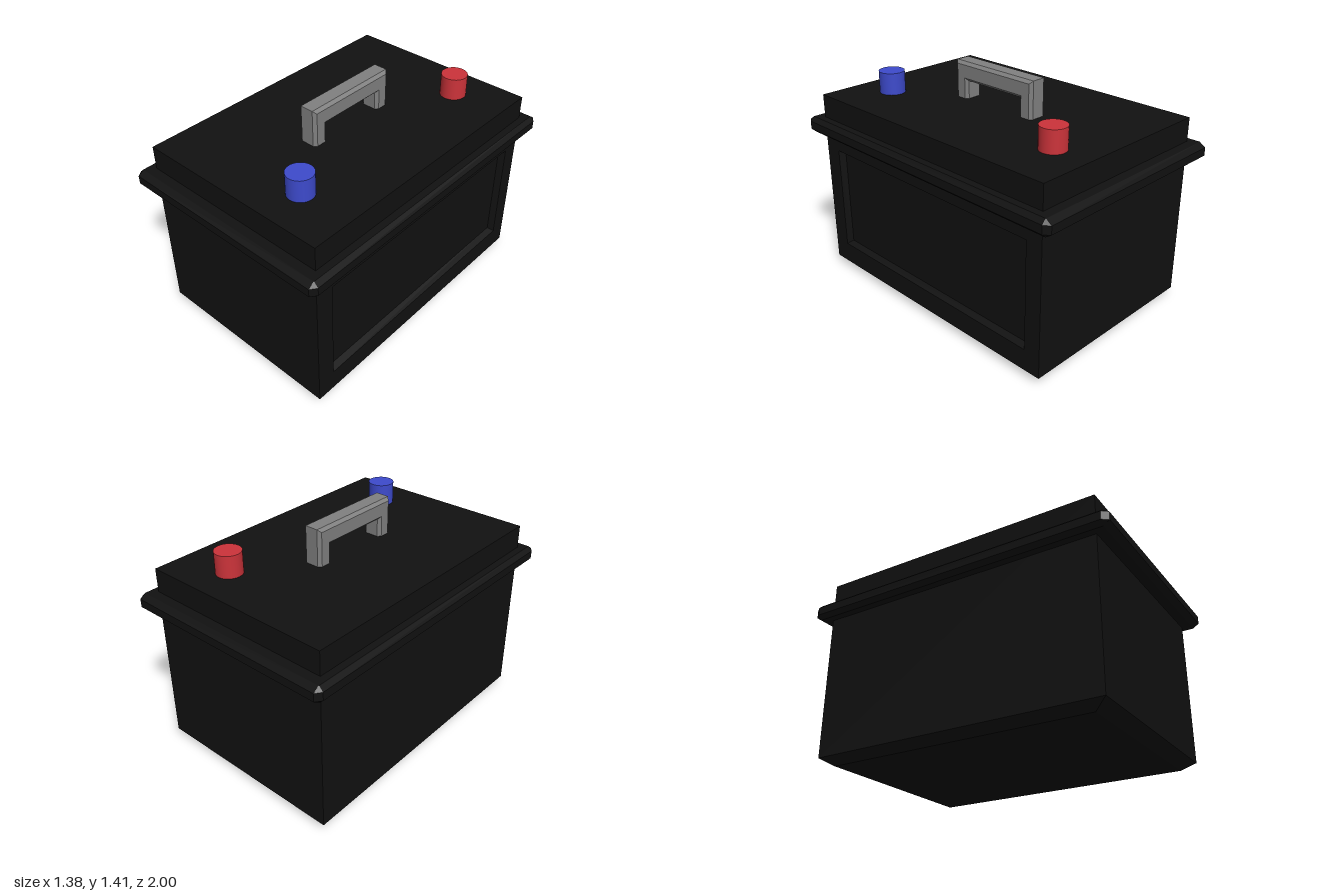
import * as THREE from 'three';

// Joins rings of equal point count with flat faces; rings run counter-clockwise seen from the last one.
function loft(rings, { capStart = false, capEnd = false, skip = () => false } = {}) {
  const pos = [];
  const tri = (a, b, c) => pos.push(...a, ...b, ...c);
  const n = rings[0].length;
  for (let r = 0; r < rings.length - 1; r++) {
    for (let i = 0; i < n; i++) {
      if (skip(r, i)) continue;
      const j = (i + 1) % n;
      tri(rings[r][i], rings[r][j], rings[r + 1][j]);
      tri(rings[r][i], rings[r + 1][j], rings[r + 1][i]);
    }
  }
  const first = rings[0], last = rings[rings.length - 1];
  for (let i = 1; i < n - 1; i++) {
    if (capStart) tri(first[0], first[i + 1], first[i]);
    if (capEnd) tri(last[0], last[i], last[i + 1]);
  }
  const geometry = new THREE.BufferGeometry();
  geometry.setAttribute('position', new THREE.Float32BufferAttribute(pos, 3));
  geometry.computeVertexNormals();
  return geometry;
}

// Horizontal rectangle, and one with cut corners
const rect = (hx, hz, y) => [[hx, y, hz], [hx, y, -hz], [-hx, y, -hz], [-hx, y, hz]];
const cutRect = (hx, hz, y, cx, cz) => [
  [hx, y, hz - cz], [hx, y, -hz + cz], [hx - cx, y, -hz], [-hx + cx, y, -hz],
  [-hx, y, -hz + cz], [-hx, y, hz - cz], [-hx + cx, y, hz], [hx - cx, y, hz],
];
// Upright rectangle facing +x
const sideRect = (x, y0, y1, z0, z1) => [[x, y0, z1], [x, y0, z0], [x, y1, z0], [x, y1, z1]];

export function createModel() {
  const group = new THREE.Group();
  const material = (color) => new THREE.MeshStandardMaterial({ color });
  const black = material(0x111111);
  const add = (name, geometry, mat) => {
    const mesh = new THREE.Mesh(geometry, mat);
    mesh.name = name;
    group.add(mesh);
    return mesh;
  };

  const hx = 0.617, hz = 0.905, top = 1.18, foot = 0.048;

  // Case with a chamfered foot; its +x wall is left open for the recessed panel
  add('case', loft(
    [rect(hx * 0.91, hz * 0.91, 0), rect(hx, hz, foot), rect(hx, hz, top)],
    { capStart: true, capEnd: true, skip: (r, i) => r === 1 && i === 0 },
  ), black);

  // Side wall with its recess
  add('recessedSidePanel', loft([
    sideRect(hx, foot, top, -hz, hz),
    sideRect(hx, 0.18, 0.84, -0.8, 0.79),
    sideRect(hx - 0.04, 0.195, 0.82, -0.785, 0.775),
  ], { capEnd: true }), black);

  // Bevelled rim around the case
  const rimX = 0.688, rimZ = 1, bx = 0.027, bz = 0.037;
  add('rim', loft([
    cutRect(rimX - bx, rimZ - bz, 0.935, 0.002, 0.002),
    cutRect(rimX, rimZ, 0.96, bx, bz),
    cutRect(rimX, rimZ, 1.01, bx, bz),
    cutRect(rimX - bx, rimZ - bz, 1.035, 0.002, 0.002),
  ], { capStart: true, capEnd: true }), black);

  // Carrying handle: a bevelled arch lying along z
  const arch = new THREE.Shape([
    [-0.308, 1.16], [-0.212, 1.16], [-0.212, 1.29], [0.212, 1.29],
    [0.212, 1.16], [0.308, 1.16], [0.308, 1.406], [-0.308, 1.406],
  ].map(([x, y]) => new THREE.Vector2(x, y)));
  const bevel = 0.018, width = 0.12;
  const handleGeometry = new THREE.ExtrudeGeometry(arch, {
    depth: width - 2 * bevel, bevelThickness: bevel, bevelSize: bevel,
    bevelOffset: -bevel, bevelSegments: 1,
  });
  handleGeometry.translate(0, 0, bevel - width / 2).rotateY(Math.PI / 2);
  add('handle', handleGeometry, material(0x808080)).position.set(-0.005, 0, 0.004);

  // Terminals
  for (const [name, z, color] of [['blueTerminal', 0.652, 0x3d4acc], ['redTerminal', -0.663, 0xcc333a]]) {
    add(name, new THREE.CylinderGeometry(0.079, 0.079, 0.155, 32), material(color))
      .position.set(0.276, 1.2375, z);
  }
  return group;
}
